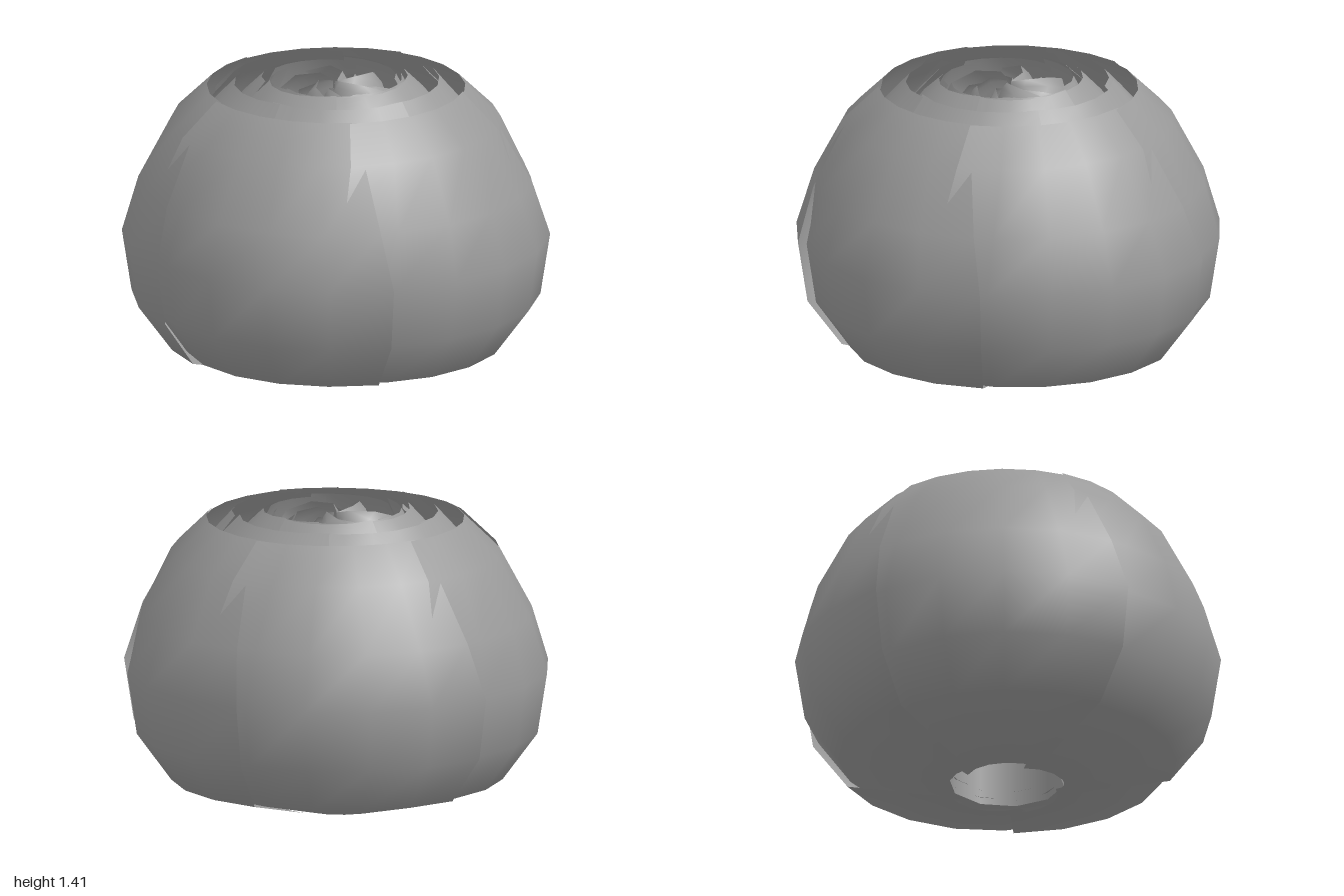
import * as THREE from 'three';

const material = new THREE.MeshStandardMaterial({ color: 0x9b9b9b, side: THREE.DoubleSide });
const rad = THREE.MathUtils.degToRad;

// Smooth grid surface: point(i, j) returns [x, y, z]
function gridMesh(name, cols, rows, point) {
  const positions = [], index = [];
  for (let j = 0; j < rows; j++)
    for (let i = 0; i < cols; i++) positions.push(...point(i, j));
  for (let j = 0; j < rows - 1; j++)
    for (let i = 0; i < cols - 1; i++) {
      const a = j * cols + i, b = a + 1, c = a + cols, d = c + 1;
      index.push(a, c, b, b, c, d);
    }
  const geometry = new THREE.BufferGeometry();
  geometry.setAttribute('position', new THREE.Float32BufferAttribute(positions, 3));
  geometry.setIndex(index);
  geometry.computeVertexNormals();
  const mesh = new THREE.Mesh(geometry, material);
  mesh.name = name;
  return mesh;
}

// Ring of five overlapping petals; tip raises the start corner of the rim.
// profile rows: [radius, height, half span in degrees, inward step from start edge to end edge]
function petalRing(name, phase, tip, profile) {
  const ring = new THREE.Group();
  ring.name = name;
  const cols = 6;
  for (let k = 0; k < 5; k++) {
    ring.add(gridMesh(name + 'Petal', cols, profile.length, (i, j) => {
      const [r, y, half, step] = profile[j];
      const t = i / (cols - 1);
      const angle = rad(phase + 72 * k + (2 * t - 1) * half);
      const radius = r - step * t ** 3;
      const lift = j === profile.length - 1 ? tip * (1 - t) ** 3 : 0;
      return [Math.cos(angle) * radius, y + lift, Math.sin(angle) * radius];
    }));
  }
  return ring;
}

export function createModel() {
  const flower = new THREE.Group();
  flower.name = 'flower';

  // Large outer petals: start edges lie on top below, end edges on top above
  flower.add(petalRing('outer', 90, 0, [
    [0.28, 0.0, 42, 0.05],
    [0.79, 0.135, 43, 0.06],
    [0.955, 0.36, 44, 0.07],
    [1.0, 0.65, 44, 0.07],
    [0.92, 0.91, 41.5, 0.02],
    [0.765, 1.2, 38.5, -0.01],
    [0.6, 1.36, 37.5, -0.01],
  ]));

  // Middle petals, nested and rising a little above the outer rim
  flower.add(petalRing('middle', 62, 0.01, [
    [0.27, 0.06, 42, 0.02],
    [0.7, 0.19, 44, 0.06],
    [0.86, 0.4, 44, 0.05],
    [0.905, 0.65, 44, 0.05],
    [0.83, 0.91, 42, 0.04],
    [0.67, 1.18, 40, 0.03],
    [0.565, 1.3, 40, 0.03],
    [0.485, 1.385, 40, 0.035],
  ]));

  // Inner petals
  flower.add(petalRing('inner', 30, 0.015, [
    [0.27, 0.1, 42, 0.02],
    [0.6, 0.24, 44, 0.05],
    [0.76, 0.6, 44, 0.05],
    [0.67, 0.95, 42, 0.04],
    [0.53, 1.2, 41, 0.04],
    [0.44, 1.31, 41, 0.03],
    [0.345, 1.4, 41, 0.035],
  ]));

  // Collar around the heart
  flower.add(petalRing('collar', 75, 0.01, [
    [0.3, 0.5, 42, 0.04],
    [0.45, 1.0, 42, 0.04],
    [0.39, 1.25, 42, 0.04],
    [0.31, 1.395, 42, 0.035],
  ]));

  // Heart: steep petals twisted into a pinwheel, alternately tall and low
  const heart = new THREE.Group();
  heart.name = 'heart';
  const path = [[0.27, 1.1], [0.3, 1.29], [0.27, 1.36], [0.19, 1.4], [0.09, 1.405], [0.012, 1.385]];
  const vanes = 10;
  for (let k = 0; k < vanes; k++) {
    heart.add(gridMesh('heartPetal', 5, path.length, (i, j) => {
      const [r, y] = path[j];
      const t = i / 4;
      const angle = rad((360 / vanes) * (k + 1.5 * t) - 85 * (r / 0.3));
      const radius = r * (1 - 0.12 * t);
      const height = y + 0.03 * Math.sin(Math.PI * t) - 0.2 * t - 0.035 * (k % 2);
      return [Math.cos(angle) * radius, height, Math.sin(angle) * radius];
    }));
  }
  flower.add(heart);

  // Open tube where the petals meet, seen through the hole underneath
  const stem = new THREE.Mesh(new THREE.CylinderGeometry(0.27, 0.27, 0.58, 10, 1, true), material);
  stem.name = 'stemSocket';
  stem.position.y = 0.32;
  flower.add(stem);

  return flower;
}
